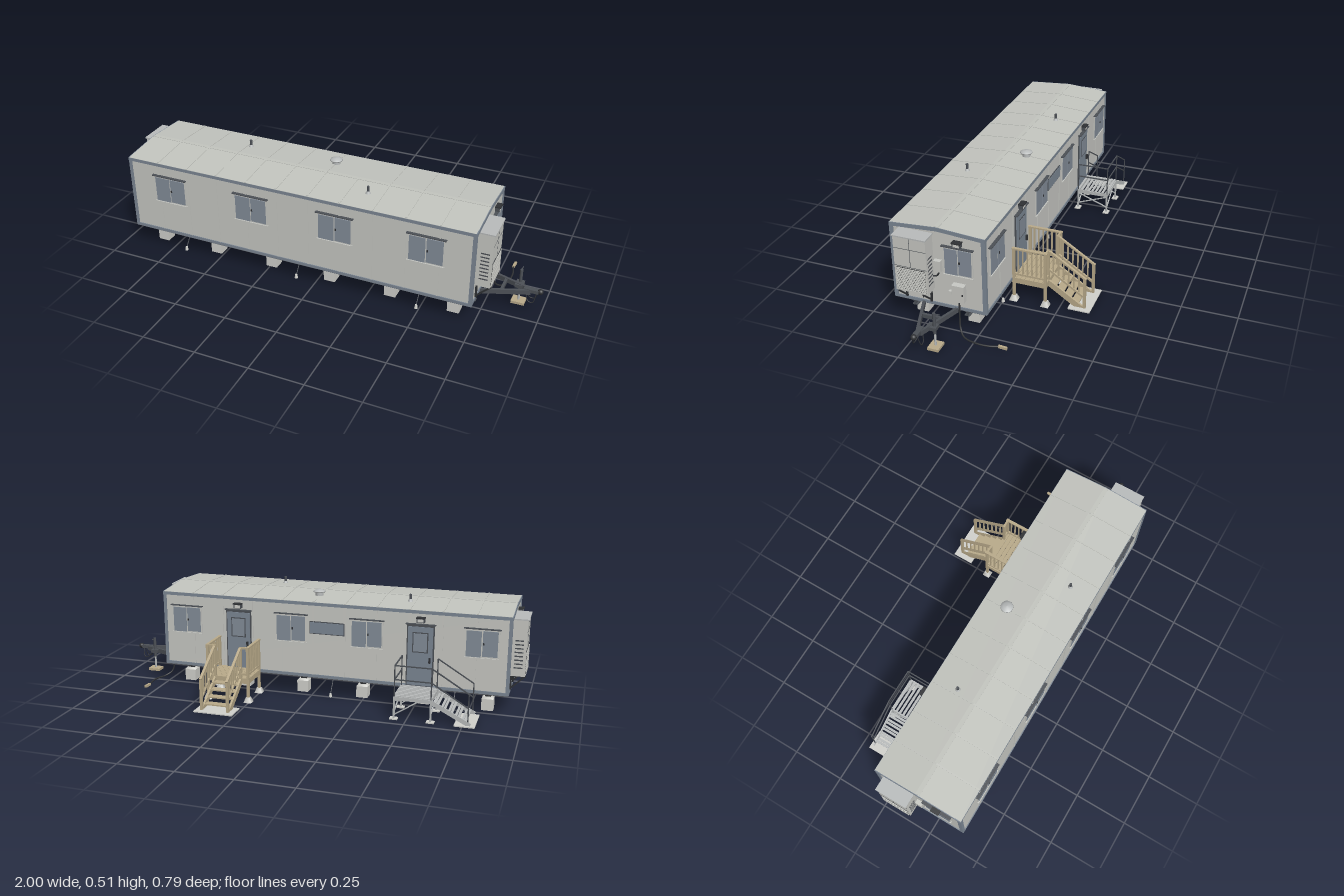
import * as THREE from 'three';

const mat = (name, color, side = THREE.FrontSide) => {
  const m = new THREE.MeshStandardMaterial({ color, side });
  m.name = name;
  return m;
};
const M = {
  wall: mat('wall panel', 0xc9cac5), roof: mat('roof sheet', 0xc4c6c0),
  trim: mat('blue grey trim', 0x7d8895), glass: mat('window glass', 0x848e9a),
  dark: mat('dark steel', 0x4d5157), black: mat('black rubber', 0x303235),
  wood: mat('timber', 0xbaab8b), concrete: mat('concrete', 0xd2d2cd),
  metal: mat('galvanised metal', 0xbabdbd), floor: mat('underfloor', 0x55575a),
};
const V = (x, y, z) => new THREE.Vector3(x, y, z);
const add = (g, name, geo, m) => {
  const o = new THREE.Mesh(geo, m);
  o.name = name;
  g.add(o);
  return o;
};
const group = (parent, name) => {
  const g = new THREE.Group();
  g.name = name;
  parent.add(g);
  return g;
};
// box given by its limits
const box = (g, name, m, x0, x1, y0, y1, z0, z1) => {
  const o = add(g, name, new THREE.BoxGeometry(x1 - x0, y1 - y0, z1 - z0), m);
  o.position.set((x0 + x1) / 2, (y0 + y1) / 2, (z0 + z1) / 2);
  return o;
};
// rectangular bar between two points
const bar = (g, name, m, a, b, w, h = w) => {
  const o = add(g, name, new THREE.BoxGeometry(w, h, a.distanceTo(b)), m);
  o.position.copy(a).lerp(b, 0.5);
  o.quaternion.setFromRotationMatrix(new THREE.Matrix4().lookAt(b, a, V(0, 1, 0)));
  return o;
};
const cyl = (g, name, m, x, y0, y1, z, r0, r1 = r0, n = 16) => {
  const o = add(g, name, new THREE.CylinderGeometry(r1, r0, y1 - y0, n), m);
  o.position.set(x, (y0 + y1) / 2, z);
  return o;
};
const tube = (g, name, m, pts, r) =>
  add(g, name, new THREE.TubeGeometry(new THREE.CatmullRomCurve3(pts.map(p => V(...p))), 30, r, 8), m);
// extrude a [z, y] outline along x
const prism = (g, name, m, pts, x0, x1) => {
  const s = new THREE.Shape(pts.map(([z, y]) => new THREE.Vector2(-z, y)));
  const o = add(g, name, new THREE.ExtrudeGeometry(s, { depth: x1 - x0, bevelEnabled: false }), m);
  o.rotation.y = Math.PI / 2;
  o.position.x = x0;
  return o;
};

const X0 = -0.925, X1 = 0.738, Z0 = -0.033, Z1 = 0.387, ZC = 0.177;

// two-pane window on a local z = 0 wall
function windowUnit(parent, w, x, z, turn) {
  const g = group(parent, 'window');
  const h = w / 2;
  box(g, 'windowFrame', M.wall, -h - 0.006, h + 0.006, 0.268, 0.4, 0, 0.005);
  box(g, 'leftPane', M.glass, -h, -0.003, 0.272, 0.392, 0.004, 0.007);
  box(g, 'rightPane', M.glass, 0.003, h, 0.277, 0.394, 0.004, 0.009);
  box(g, 'drip', M.dark, -h - 0.012, h + 0.012, 0.401, 0.405, 0, 0.014);
  box(g, 'sill', M.wall, -h - 0.008, h + 0.008, 0.265, 0.27, 0, 0.01);
  box(g, 'latch', M.black, 0.005, 0.011, 0.33, 0.34, 0.008, 0.012);
  g.position.set(x, 0, z);
  g.rotation.y = turn;
}

function lamp(parent, x, z, turn) {
  const g = group(parent, 'lamp');
  box(g, 'lampBody', M.dark, -0.018, 0.018, 0.412, 0.432, 0, 0.02);
  box(g, 'lampHood', M.black, -0.02, 0.02, 0.431, 0.436, 0, 0.026);
  box(g, 'lampLens', M.concrete, -0.013, 0.013, 0.415, 0.428, 0.0195, 0.0215);
  g.position.set(x, 0, z);
  g.rotation.y = turn;
}

function door(parent, x) {
  const g = group(parent, 'door');
  box(g, 'doorFrame', M.dark, -0.063, 0.063, 0.11, 0.397, 0, 0.005);
  box(g, 'doorLeaf', M.trim, -0.057, 0.057, 0.114, 0.39, 0.004, 0.009);
  box(g, 'doorGlassFrame', M.dark, -0.036, 0.036, 0.27, 0.365, 0.008, 0.0105);
  box(g, 'doorGlass', M.glass, -0.031, 0.031, 0.275, 0.36, 0.01, 0.0115);
  box(g, 'doorHandle', M.black, 0.041, 0.05, 0.225, 0.25, 0.009, 0.018);
  box(g, 'doorHood', M.dark, -0.068, 0.068, 0.4, 0.404, 0, 0.016);
  g.position.set(x, 0, Z0);
  g.rotation.y = Math.PI;
  lamp(parent, x, Z0, Math.PI);
}

// equipment shared by both end walls, laid out for the +x end
function endWall(parent) {
  const g = group(parent, 'endWall');
  windowUnit(g, 0.119, X1, 0.085, Math.PI / 2);
  lamp(g, X1, 0.083, Math.PI / 2);
  const ac = group(g, 'airConditioner');
  box(ac, 'acCabinet', M.wall, X1, 0.803, 0.184, 0.445, 0.198, 0.344);
  box(ac, 'acLid', M.metal, X1, 0.808, 0.443, 0.449, 0.195, 0.347);
  box(ac, 'acGrille', M.black, 0.8, 0.804, 0.19, 0.3, 0.205, 0.337);
  for (let i = 0; i < 13; i++)
    box(ac, 'acSlat', M.wall, 0.803, 0.807, 0.19 + i * 0.0085, 0.1955 + i * 0.0085, 0.205, 0.337);
  box(ac, 'acSeam', M.dark, 0.802, 0.8036, 0.388, 0.39, 0.198, 0.344);
  box(ac, 'acSeam', M.dark, 0.802, 0.8036, 0.304, 0.306, 0.198, 0.344);
  box(ac, 'acSeam', M.dark, 0.802, 0.8036, 0.305, 0.443, 0.27, 0.272);
  for (const z of [0.1975, 0.3435])
    for (let i = 0; i < 8; i++)
      box(ac, 'acSideVent', M.dark, 0.752, 0.79, 0.22 + i * 0.018, 0.226 + i * 0.018, z, z + 0.001);
  for (const z of [0.215, 0.33]) {
    box(ac, 'acBracket', M.black, X1, 0.746, 0.115, 0.186, z - 0.004, z + 0.004);
    box(ac, 'acShelf', M.black, X1, 0.806, 0.178, 0.185, z - 0.004, z + 0.004);
    bar(ac, 'acStrut', M.black, V(0.742, 0.122, z), V(0.802, 0.18, z), 0.006);
  }
  tube(g, 'drain', M.black, [[0.742, 0.18, 0.255], [0.745, 0.15, 0.255], [0.744, 0.125, 0.253]], 0.002);
  box(g, 'switchBox', M.wall, X1, 0.758, 0.278, 0.33, 0.159, 0.19);
  tube(g, 'conduit', M.black, [[0.746, 0.28, 0.172], [0.746, 0.26, 0.176], [0.748, 0.251, 0.187], [0.748, 0.25, 0.2]], 0.0035);
  return g;
}

function building(g) {
  prism(g, 'walls', M.wall, [[Z0, 0.103], [Z1, 0.103], [Z1, 0.458], [ZC, 0.471], [Z0, 0.458]], X0, X1);
  prism(g, 'roof', M.roof, [[Z1 + 0.003, 0.455], [Z1 + 0.003, 0.466], [ZC, 0.481], [Z0 - 0.003, 0.466], [Z0 - 0.003, 0.455], [ZC, 0.47]], X0 - 0.002, X1 + 0.002);
  // edge trim
  for (const x of [X0 - 0.005, X1 + 0.001])
    prism(g, 'gableTrim', M.trim, [[Z1 + 0.004, 0.449], [Z1 + 0.004, 0.466], [ZC, 0.4805], [Z0 - 0.004, 0.466], [Z0 - 0.004, 0.449], [ZC, 0.463]], x, x + 0.004);
  for (const z of [Z0 - 0.004, Z1]) {
    box(g, 'eaveTrim', M.trim, X0 - 0.004, X1 + 0.004, 0.45, 0.465, z, z + 0.004);
    box(g, 'baseTrim', M.trim, X0 - 0.004, X1 + 0.004, 0.101, 0.115, z, z + 0.004);
    for (const x of [X0 - 0.003, X1 - 0.011])
      box(g, 'cornerTrim', M.trim, x, x + 0.014, 0.103, 0.455, z, z + 0.004);
  }
  for (const x of [X0 - 0.004, X1]) {
    box(g, 'baseTrim', M.trim, x, x + 0.004, 0.101, 0.115, Z0, Z1);
    for (const z of [Z0 - 0.004, Z1 - 0.014])
      box(g, 'cornerTrim', M.trim, x, x + 0.004, 0.103, 0.455, z, z + 0.018);
  }
  // panel and roof ribs
  for (let i = 1; i < 11; i++) {
    const x = X0 + (i * (X1 - X0)) / 11;
    for (const z of [Z0, Z1]) {
      box(g, 'wallRib', M.wall, x - 0.004, x + 0.004, 0.115, 0.45, z - 0.003, z + 0.003);
      bar(g, 'roofRib', M.roof, V(x, 0.4665, z), V(x, 0.481, ZC), 0.007, 0.004);
    }
  }
  box(g, 'ridgeCap', M.roof, X0, X1, 0.479, 0.482, ZC - 0.01, ZC + 0.01);
  for (const x of [-0.715, -0.297, 0.112, 0.53]) windowUnit(g, 0.152, x, Z1, 0);
  for (const x of [0.62, 0.09, -0.275, -0.8]) windowUnit(g, 0.14, x, Z0, Math.PI);
  for (const x of [0.352, -0.525]) door(g, x);
  box(g, 'signBorder', M.dark, -0.17, 0, 0.315, 0.375, Z0 - 0.004, Z0);
  box(g, 'signPlate', M.trim, -0.166, -0.004, 0.319, 0.371, Z0 - 0.006, Z0);
  endWall(g);
  const far = endWall(g);
  far.rotation.y = Math.PI;
  far.position.set(X0 + X1, 0, 2 * ZC);
  // roof pipes and mushroom vent
  for (const [x, z] of [[-0.45, 0.085], [0.22, 0.272]]) {
    cyl(g, 'pipeFlashing', M.metal, x, 0.468, 0.485, z, 0.014, 0.007);
    cyl(g, 'roofPipe', M.dark, x, 0.47, 0.508, z, 0.006);
  }
  cyl(g, 'ventNeck', M.metal, -0.015, 0.465, 0.493, 0.077, 0.019);
  add(g, 'ventCap', new THREE.LatheGeometry([[0, 0], [0.029, 0], [0.028, 0.004], [0.016, 0.01], [0, 0.012]]
    .map(p => new THREE.Vector2(...p)), 24), M.metal).position.set(-0.015, 0.491, 0.077);
}

function chassis(g) {
  box(g, 'underfloor', M.floor, X0, X1, 0.097, 0.103, Z0, Z1);
  for (const z of [0.056, 0.298]) {
    box(g, 'mainBeamWeb', M.dark, X0 + 0.01, X1, 0.076, 0.1, z - 0.003, z + 0.003);
    for (const y of [0.074, 0.094]) box(g, 'mainBeamFlange', M.dark, X0 + 0.01, X1, y, y + 0.004, z - 0.012, z + 0.012);
  }
  for (const x of [-0.866, -0.635, -0.402, -0.167, 0.064, 0.299, 0.535, 0.71])
    prism(g, 'outrigger', M.dark, [[Z0 + 0.003, 0.097], [0.05, 0.08], [0.304, 0.08], [Z1 - 0.003, 0.097], [Z1 - 0.003, 0.103], [Z0 + 0.003, 0.103]], x - 0.005, x + 0.005);
  // block piers
  for (let i = 0; i < 6; i++) for (const z of [0.056, 0.298]) {
    const x = -0.83 + i * 0.295;
    box(g, 'pier', M.concrete, x - 0.027, x + 0.027, 0, 0.055, z - 0.027, z + 0.027);
    const cap = cyl(g, 'pierTop', M.concrete, x, 0.055, 0.063, z, 0.037, 0.029, 4);
    cap.rotation.y = Math.PI / 4;
    box(g, 'pierShim', M.black, x - 0.014, x + 0.014, 0.062, 0.076, z - 0.01, z + 0.01);
  }
  // ground anchors with tie rods
  for (const x of [-0.68, -0.095, 0.488]) for (const [z, zb] of [[0.36, 0.305], [-0.003, 0.05]]) {
    cyl(g, 'anchor', M.concrete, x, 0, 0.018, z, 0.008, 0.005);
    bar(g, 'tieRod', M.dark, V(x, 0.012, z), V(x, 0.08, zb), 0.003);
  }
}

function hitch(g) {
  for (const s of [-1, 1]) {
    bar(g, 'drawbar', M.dark, V(0.6, 0.095, ZC + s * 0.125), V(0.945, 0.1, ZC + s * 0.006), 0.012, 0.022);
    tube(g, 'safetyChain', M.black, [[0.925, 0.09, ZC + s * 0.008], [0.94, 0.058, ZC + s * 0.016], [0.96, 0.056, ZC + s * 0.018], [0.972, 0.1, ZC + s * 0.008]], 0.002);
  }
  box(g, 'hitchCross', M.dark, 0.82, 0.832, 0.09, 0.108, ZC - 0.05, ZC + 0.05);
  box(g, 'coupler', M.dark, 0.915, 0.98, 0.098, 0.114, ZC - 0.011, ZC + 0.011);
  add(g, 'couplerHead', new THREE.SphereGeometry(0.013, 16, 12), M.black).position.set(0.987, 0.108, ZC);
  // jack with timber pad
  box(g, 'jackMount', M.dark, 0.87, 0.906, 0.092, 0.108, 0.12, 0.165);
  cyl(g, 'jackTube', M.dark, 0.888, 0.07, 0.17, 0.133, 0.007);
  cyl(g, 'jackLeg', M.metal, 0.888, 0.012, 0.07, 0.133, 0.005);
  bar(g, 'jackCrank', M.dark, V(0.888, 0.163, 0.133), V(0.888, 0.168, 0.105), 0.004);
  box(g, 'jackPad', M.wood, 0.858, 0.918, 0, 0.012, 0.108, 0.158);
  // power box and cable
  box(g, 'powerBox', M.wall, X1, 0.765, 0.153, 0.232, 0.055, 0.11);
  box(g, 'powerBoxLatch', M.black, 0.765, 0.767, 0.188, 0.196, 0.059, 0.063);
  box(g, 'outlet', M.wall, X1, 0.752, 0.17, 0.192, 0.118, 0.13);
  tube(g, 'powerCable', M.black, [[0.752, 0.155, 0.083], [0.755, 0.09, 0.082], [0.765, 0.025, 0.076], [0.79, 0.004, 0.05], [0.812, 0.004, -0.01], [0.812, 0.004, -0.07], [0.802, 0.005, -0.11]], 0.004);
  bar(g, 'cablePlug', M.wood, V(0.802, 0.007, -0.11), V(0.805, 0.007, -0.15), 0.011);
}

function timberSteps(g) {
  const xa = 0.252, xb = 0.452, zf = -0.188, w = 0.009;
  for (let i = 0; i < 8; i++) {
    const z = -0.034 - i * 0.0202;
    box(g, 'deckBoard', M.wood, xa - 0.006, xb + 0.006, 0.11, 0.117, z - 0.0185, z);
  }
  for (const z of [-0.042, zf]) box(g, 'deckJoist', M.wood, xa, xb, 0.09, 0.11, z - 0.005, z + 0.005);
  for (const x of [xa, xb]) {
    box(g, 'deckSide', M.wood, x - 0.005, x + 0.005, 0.09, 0.11, zf, -0.034);
    for (const z of [-0.042, zf]) {
      box(g, 'deckPost', M.wood, x - 0.006, x + 0.006, 0.02, 0.265, z - 0.006, z + 0.006);
      cyl(g, 'postFooting', M.concrete, x, 0, 0.024, z, 0.026, 0.014, 4).rotation.y = Math.PI / 4;
    }
    bar(g, 'topRail', M.wood, V(x, 0.263, -0.034), V(x, 0.263, -0.196), 0.014, 0.007);
    bar(g, 'lowerRail', M.wood, V(x, 0.136, -0.04), V(x, 0.136, zf), w);
    for (let i = 1; i < 7; i++) {
      const z = -0.042 - i * 0.0209;
      box(g, 'baluster', M.wood, x - 0.003, x + 0.003, 0.136, 0.26, z - 0.003, z + 0.003);
    }
  }
  for (const [x, e] of [[0.288, xa], [0.416, xb]]) {
    box(g, 'stairPost', M.wood, x - 0.006, x + 0.006, 0.09, 0.265, zf - 0.006, zf + 0.006);
    for (const y of [0.136, 0.262]) bar(g, 'frontRail', M.wood, V(x, y, zf), V(e, y, zf), w);
    prism(g, 'stringer', M.wood, [[zf, 0.117], [zf, 0.085], [-0.315, 0], [-0.36, 0], [-0.36, 0.005]], x - 0.005, x + 0.005);
    box(g, 'newelPost', M.wood, x - 0.006, x + 0.006, 0.003, 0.152, -0.362, -0.35);
    bar(g, 'stairRail', M.wood, V(x, 0.262, zf), V(x, 0.15, -0.362), 0.012, 0.008);
    bar(g, 'stairLowerRail', M.wood, V(x, 0.17, zf), V(x, 0.058, -0.356), w);
    for (let i = 1; i < 7; i++) {
      const z = zf - i * 0.0235, y = 0.262 - i * 0.0155;
      box(g, 'stairBaluster', M.wood, x - 0.003, x + 0.003, y - 0.094, y, z - 0.003, z + 0.003);
    }
  }
  for (let i = 1; i < 5; i++)
    box(g, 'tread', M.wood, 0.288, 0.416, 0.112 - i * 0.0235, 0.118 - i * 0.0235, zf - 0.006 - i * 0.034, zf + 0.03 - i * 0.034);
  box(g, 'landingPad', M.concrete, 0.257, 0.445, 0, 0.005, -0.388, -0.288);
}

function metalSteps(g) {
  const xa = -0.61, xb = -0.445, za = -0.045, zb = -0.198;
  for (let i = 0; i < 9; i++) {
    const z = -0.04 - i * 0.0183;
    box(g, 'gratingSlat', M.metal, xa - 0.004, xb + 0.004, 0.104, 0.11, z - 0.011, z);
  }
  for (const x of [xa, xb]) {
    box(g, 'frameEnd', M.metal, x - 0.004, x + 0.004, 0.09, 0.106, zb, za);
    bar(g, 'crossBrace', M.metal, V(x, 0.03, za), V(x, 0.088, zb), 0.005);
    bar(g, 'crossBrace', M.metal, V(x, 0.088, za), V(x, 0.03, zb), 0.005);
    for (const z of [za, zb]) {
      box(g, 'frameLeg', M.metal, x - 0.004, x + 0.004, 0.005, 0.106, z - 0.004, z + 0.004);
      box(g, 'legFoot', M.concrete, x - 0.018, x + 0.018, 0, 0.006, z - 0.014, z + 0.014);
    }
  }
  for (const z of [za, zb]) {
    box(g, 'frameSide', M.metal, xa, xb, 0.09, 0.106, z - 0.004, z + 0.004);
    bar(g, 'sideBrace', M.metal, V(xb, 0.02, z), V(xa + 0.06, 0.09, z), 0.005);
    bar(g, 'stringer', M.metal, V(xa, 0.096, z), V(-0.785, 0.006, z), 0.006, 0.02);
    // pipe handrails
    for (const dy of [0, 0.065]) {
      bar(g, 'handrail', M.dark, V(xa, 0.25 - dy, z), V(-0.775, 0.15 - dy, z), 0.005);
      if (z === zb) bar(g, 'platformRail', M.dark, V(xa, 0.25 - dy, z), V(xb, 0.25 - dy, z), 0.005);
    }
    for (const [x, y0, y1] of [[xa, 0.1, 0.25], [-0.775, 0.01, 0.15], [xb, 0.1, 0.25]])
      cyl(g, 'railPost', M.dark, x, y0, y1, z, 0.0028, 0.0028, 8);
  }
  for (const y of [0.185, 0.25]) bar(g, 'endRail', M.dark, V(xb, y, za), V(xb, y, zb), 0.005);
  for (let i = 0; i < 5; i++)
    for (const d of [0, 0.014])
      box(g, 'treadSlat', M.metal, -0.645 - i * 0.031 + d, -0.634 - i * 0.031 + d, 0.084 - i * 0.0165, 0.089 - i * 0.0165, zb, za);
  box(g, 'landingPad', M.concrete, -0.807, -0.715, 0, 0.005, -0.213, -0.045);
}

export function createModel() {
  const root = new THREE.Group();
  root.name = 'siteCabin';
  for (const [name, build] of Object.entries({ building, chassis, hitch, timberSteps, metalSteps }))
    build(group(root, name));
  return root;
}
